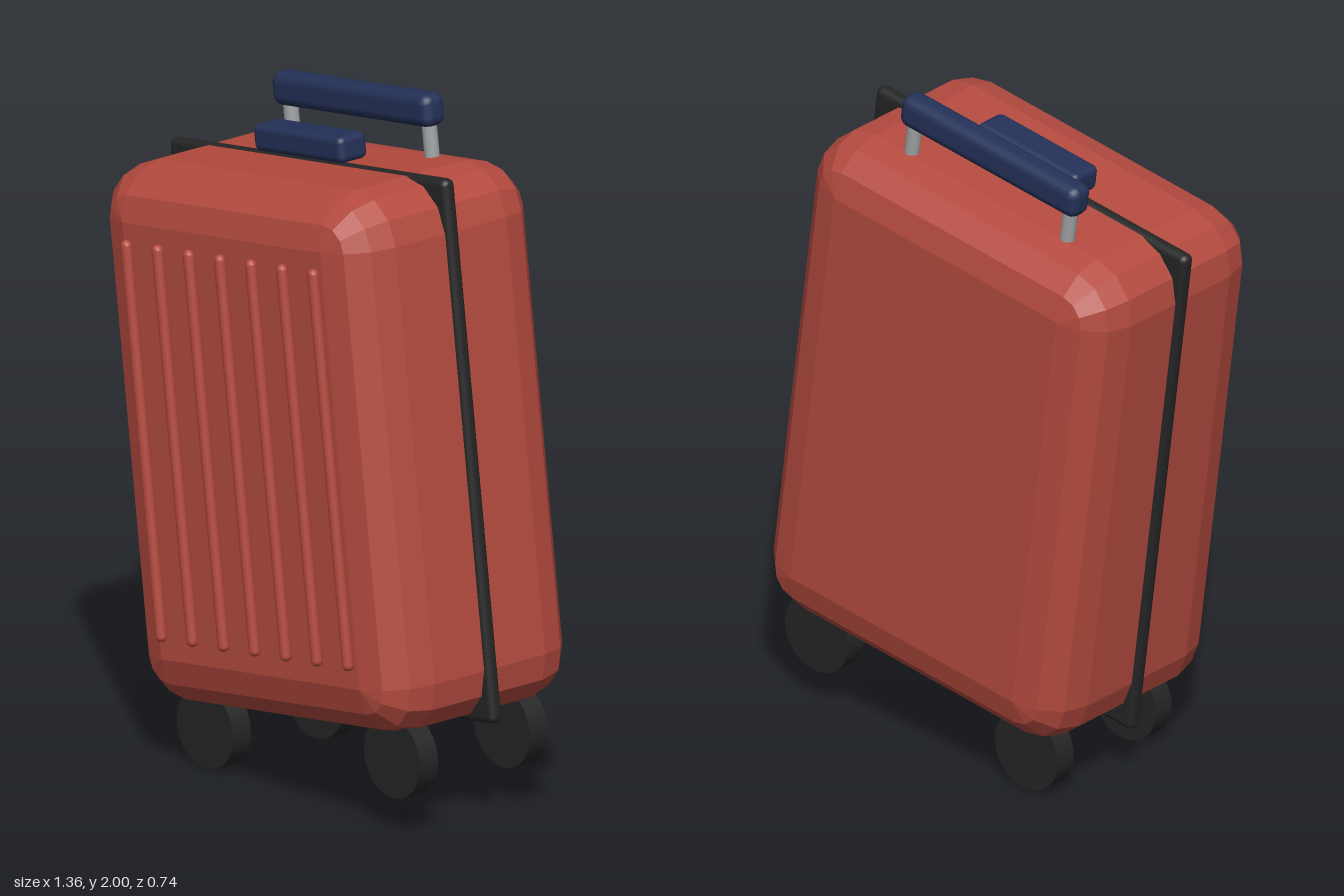
import * as THREE from 'three';
import { RoundedBoxGeometry } from 'three/addons/geometries/RoundedBoxGeometry.js';

const mat = (name, color) => {
  const m = new THREE.MeshStandardMaterial({ color });
  m.name = name;
  return m;
};

// Box with faceted corners: a coarse sphere whose octants are pushed apart
function facetedBox(halfW, halfH, halfD, r, steps) {
  const pos = [], index = [];
  const ringSize = 4 * (steps + 1), rings = 2 * (steps + 1);
  const step = Math.PI / 2 / steps;
  for (let j = 0; j < rings; j++) {
    const sz = j <= steps ? -1 : 1;
    const lat = sz < 0 ? (j - steps) * step : (j - steps - 1) * step;
    for (let q = 0; q < 4; q++) {
      const sx = q === 0 || q === 3 ? 1 : -1, sy = q < 2 ? 1 : -1;
      for (let i = 0; i <= steps; i++) {
        const lon = q * Math.PI / 2 + i * step;
        pos.push(
          sx * (halfW - r) + r * Math.cos(lat) * Math.cos(lon),
          sy * (halfH - r) + r * Math.cos(lat) * Math.sin(lon),
          sz * (halfD - r) + r * Math.sin(lat));
      }
    }
  }
  const back = pos.length / 3, front = back + 1, last = (rings - 1) * ringSize;
  pos.push(0, 0, -halfD, 0, 0, halfD);
  for (let i = 0; i < ringSize; i++) {
    const n = (i + 1) % ringSize;
    for (let j = 0; j < rings - 1; j++) {
      const a = j * ringSize, b = a + ringSize;
      index.push(a + i, a + n, b + n, a + i, b + n, b + i);
    }
    index.push(back, n, i, front, last + i, last + n);
  }
  const indexed = new THREE.BufferGeometry();
  indexed.setAttribute('position', new THREE.Float32BufferAttribute(pos, 3));
  indexed.setIndex(index);
  const geo = indexed.toNonIndexed(); // separate faces give flat facets
  geo.computeVertexNormals();
  return geo;
}

export function createModel() {
  const red = mat('shell red', 0xb54b3f);
  const black = mat('rubber black', 0x252525);
  const navy = mat('grip navy', 0x243158);
  const grey = mat('metal grey', 0xa0a2a4);

  const suitcase = new THREE.Group();
  suitcase.name = 'suitcase';
  const add = (name, geo, material, x, y, z) => {
    const mesh = new THREE.Mesh(geo, material);
    mesh.name = name;
    mesh.position.set(x, y, z);
    suitcase.add(mesh);
    return mesh;
  };

  // Shell and the seam band around its middle
  add('shell', facetedBox(0.568, 0.777, 0.357, 0.15, 3), red, 0, 0, 0);
  add('seamBand', new RoundedBoxGeometry(1.168, 1.564, 0.045, 2, 0.02), black, 0, 0, 0);

  // Raised ribs on the front
  const ribGeo = new THREE.CapsuleGeometry(0.017, 1.12, 4, 10);
  for (let i = 0; i < 7; i++) {
    add('frontRib', ribGeo, red, (i - 3) * 0.1315, 0.005, 0.37);
  }

  // Four wheels
  const wheelGeo = new THREE.CylinderGeometry(0.118, 0.118, 0.068, 28).rotateX(Math.PI / 2);
  for (const x of [-0.395, 0.395]) {
    for (const z of [-0.206, 0.206]) add('wheel', wheelGeo, black, x, -0.847, z);
  }

  // Pull handle on two posts
  const postGeo = new THREE.CylinderGeometry(0.022, 0.022, 0.2, 12);
  for (const x of [-0.293, 0.293]) add('handlePost', postGeo, grey, x, 0.81, -0.191);
  add('pullHandle', new RoundedBoxGeometry(0.665, 0.097, 0.08, 2, 0.03), navy, -0.002, 0.912, -0.191);

  // Carry grip on top
  add('carryGrip', new RoundedBoxGeometry(0.375, 0.078, 0.104, 2, 0.02), navy, 0, 0.83, 0);

  // The whole case leans sideways
  suitcase.rotation.z = THREE.MathUtils.degToRad(7.5);
  suitcase.position.set(0, 1.01, -0.015);

  const model = new THREE.Group();
  model.name = 'tiltedSuitcase';
  model.add(suitcase);
  return model;
}
